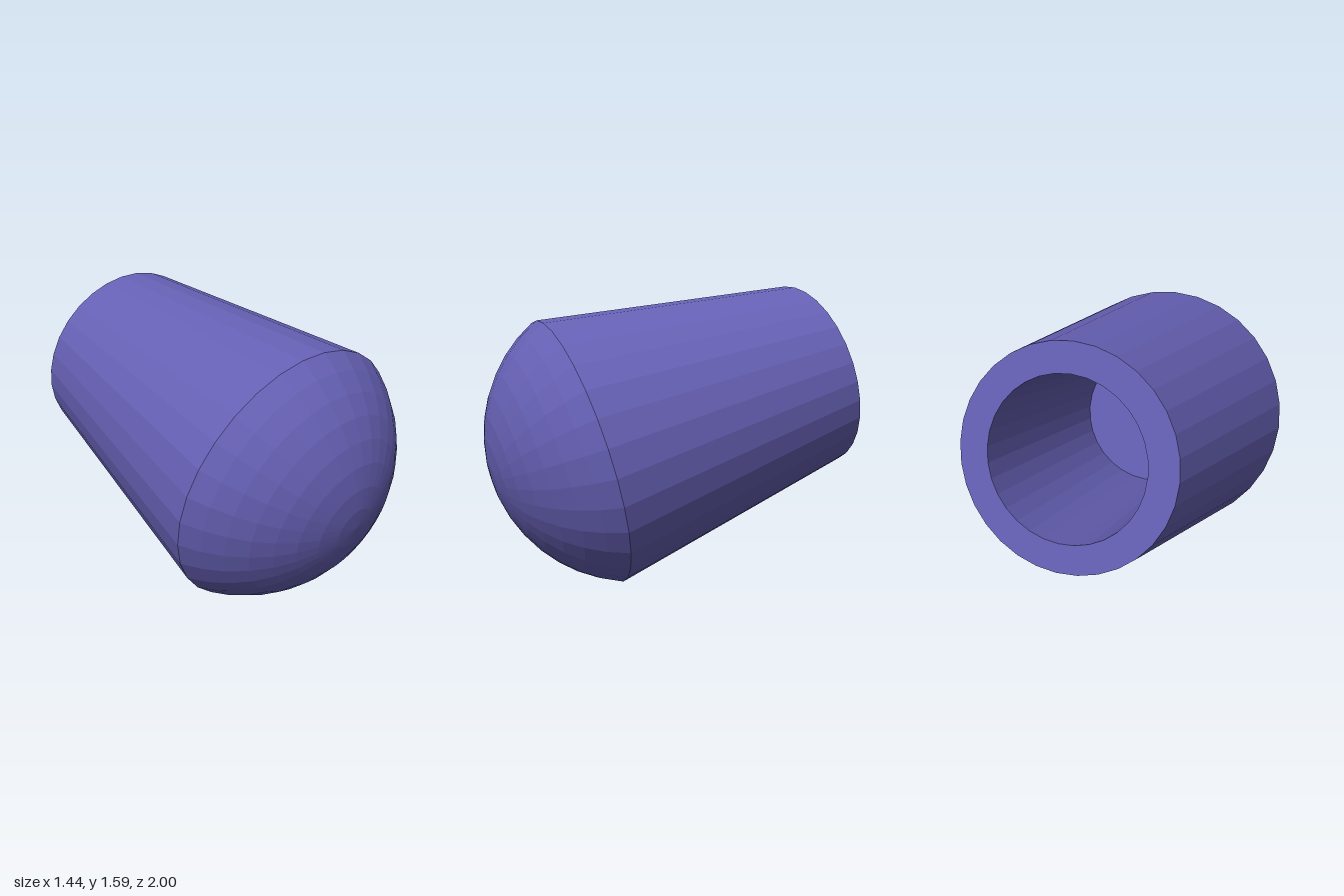
import * as THREE from 'three';

const SIDES = 32;
const BASE_R = 0.72;   // where dome meets the barrel
const RIM_R = 0.533;   // open end
const HOLE_R = 0.39;
const LENGTH = 1.45;   // barrel length along its axis
const DOME_H = 0.45;
const HOLE_DEPTH = 1.2;

export function createModel() {
  const model = new THREE.Group();
  const material = new THREE.MeshStandardMaterial({ color: 0x6660b4, flatShading: true });

  // Each part is turned about the same axis, +y pointing to the open end
  const turn = (name, points) => {
    const profile = points.map(([r, y]) => new THREE.Vector2(r, y));
    const mesh = new THREE.Mesh(new THREE.LatheGeometry(profile, SIDES), material);
    mesh.name = name;
    model.add(mesh);
  };

  // Shallow spherical cap
  const sphereR = (DOME_H ** 2 + BASE_R ** 2) / (2 * DOME_H);
  const capAngle = Math.asin(BASE_R / sphereR);
  const rings = 8;
  const dome = [];
  for (let i = 0; i <= rings; i++) {
    const a = (capAngle * i) / rings;
    dome.push([sphereR * Math.sin(a), sphereR - DOME_H - sphereR * Math.cos(a)]);
  }
  turn('dome', dome);

  // Tapered barrel, flat rim and straight bore with a floor
  turn('barrel', [[BASE_R, 0], [RIM_R, LENGTH]]);
  turn('rim', [[RIM_R, LENGTH], [HOLE_R, LENGTH]]);
  turn('bore', [[HOLE_R, LENGTH], [HOLE_R, LENGTH - HOLE_DEPTH], [0, LENGTH - HOLE_DEPTH]]);

  // Lay the axis back, open end raised 15 degrees
  model.rotation.x = THREE.MathUtils.degToRad(-75);
  model.position.set(0, 0.7, 0.54);

  const group = new THREE.Group();
  model.name = 'hollowPlug';
  group.add(model);
  return group;
}
